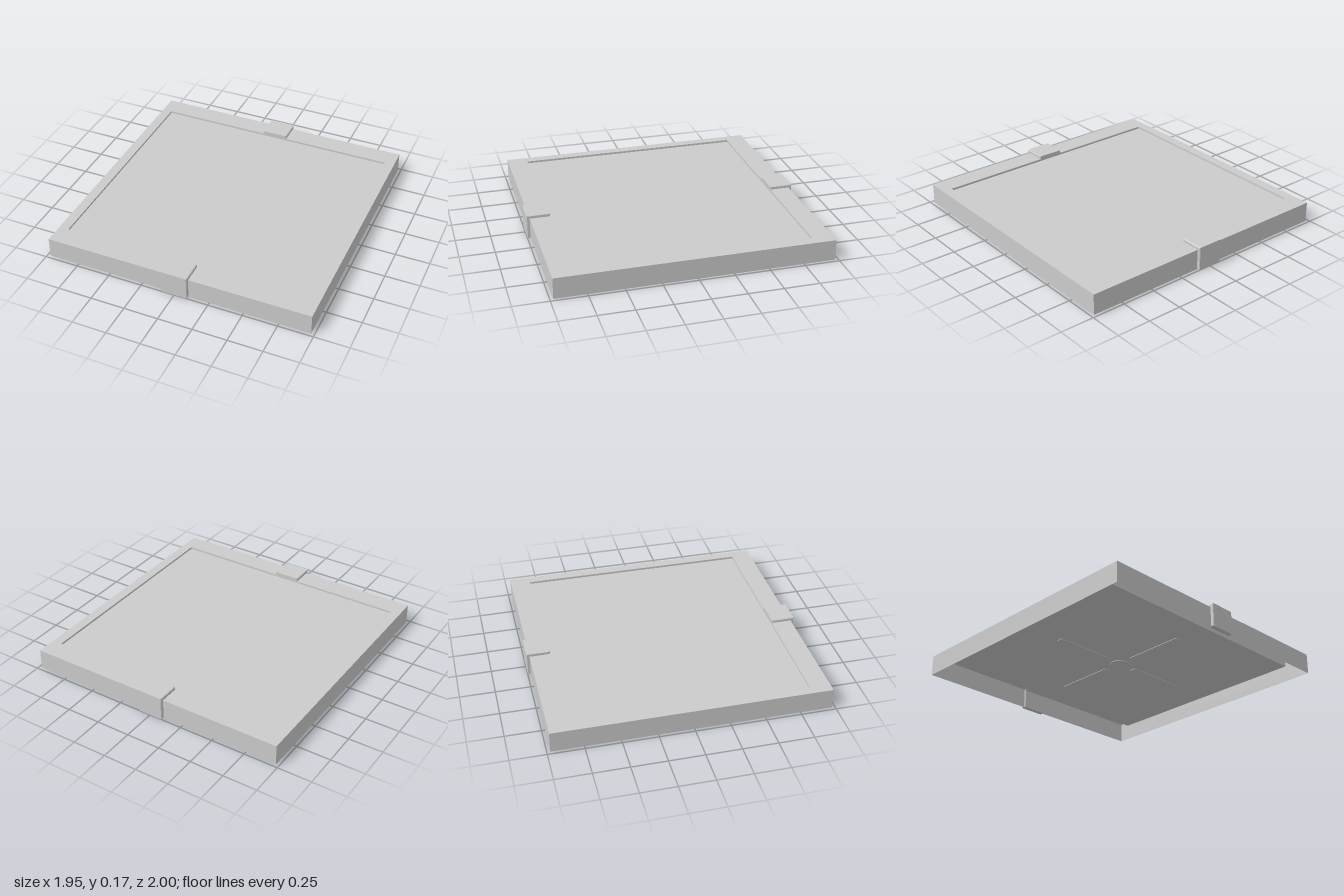
import * as THREE from 'three';

const material = new THREE.MeshStandardMaterial({ color: 0xcccccc, flatShading: true, side: THREE.DoubleSide });

function add(parent, name, geometry, x = 0, y = 0, z = 0) {
  const mesh = new THREE.Mesh(geometry, material);
  mesh.name = name;
  mesh.position.set(x, y, z);
  parent.add(mesh);
  return mesh;
}

function rectangle(Type, w, d) {
  return new Type([[-w, -d], [w, -d], [w, d], [-w, d]].map(([x, y]) => new THREE.Vector2(x, y)));
}

export function createModel() {
  const model = new THREE.Group();
  model.name = 'tray';
  const half = 0.977, height = 0.15;
  const panelX = 0.905, panelZ = 0.83, panelTop = 0.135, panelBottom = 0.08;

  // Thin top rim around the recess
  const rimShape = rectangle(THREE.Shape, half, half);
  rimShape.holes.push(rectangle(THREE.Path, panelX, panelZ));
  add(model, 'rim', new THREE.ShapeGeometry(rimShape).rotateX(-Math.PI / 2), 0, height, 0);

  // Outer skirt, open below, and the short wall of the recess
  for (let i = 0; i < 4; i++) {
    const angle = i * Math.PI / 2, s = Math.round(Math.sin(angle)), c = Math.round(Math.cos(angle));
    const wall = add(model, 'skirtWall', new THREE.PlaneGeometry(2 * half, height), s * half, height / 2, c * half);
    wall.rotation.y = angle;
    const depth = height - panelTop;
    const lip = add(model, 'recessWall', new THREE.PlaneGeometry(2 * (s ? panelZ : panelX), depth),
      s * panelX, panelTop + depth / 2, c * panelZ);
    lip.rotation.y = angle + Math.PI;
  }

  // Sunken panel slab
  add(model, 'panel', new THREE.BoxGeometry(2 * panelX, panelTop - panelBottom, 2 * panelZ),
    0, (panelTop + panelBottom) / 2, 0);

  // Shallow hub and four arms under the panel
  const relief = 0.004, reliefY = panelBottom - relief / 2;
  add(model, 'undersideHub', new THREE.CylinderGeometry(0.07, 0.07, relief, 24), 0, reliefY, 0);
  for (const sign of [-1, 1]) {
    add(model, 'undersideArm', new THREE.BoxGeometry(0.46, relief, 0.05), sign * 0.36, reliefY, 0);
    add(model, 'undersideArm', new THREE.BoxGeometry(0.05, relief, 0.46), 0, reliefY, sign * 0.36);
  }

  // L-shaped clips over the front and back edges, with slightly bevelled sides
  const bevel = 0.005, b = bevel;
  const profile = new THREE.Shape([
    [0.965 + b, b], [1 - b, b], [1 - b, 0.173 - b], [0.83 + b, 0.173 - b], [0.83 + b, 0.14 + b], [0.965 + b, 0.14 + b],
  ].map(([z, y]) => new THREE.Vector2(z, y)));
  const clipGeometry = new THREE.ExtrudeGeometry(profile, {
    depth: 0.194 - 2 * b, bevelEnabled: true, bevelSize: b, bevelThickness: b, bevelSegments: 1,
  });
  clipGeometry.translate(0, 0, -(0.194 - 2 * b) / 2).rotateY(-Math.PI / 2);
  add(model, 'frontClip', clipGeometry);
  add(model, 'backClip', clipGeometry).rotation.y = Math.PI;

  return model;
}
